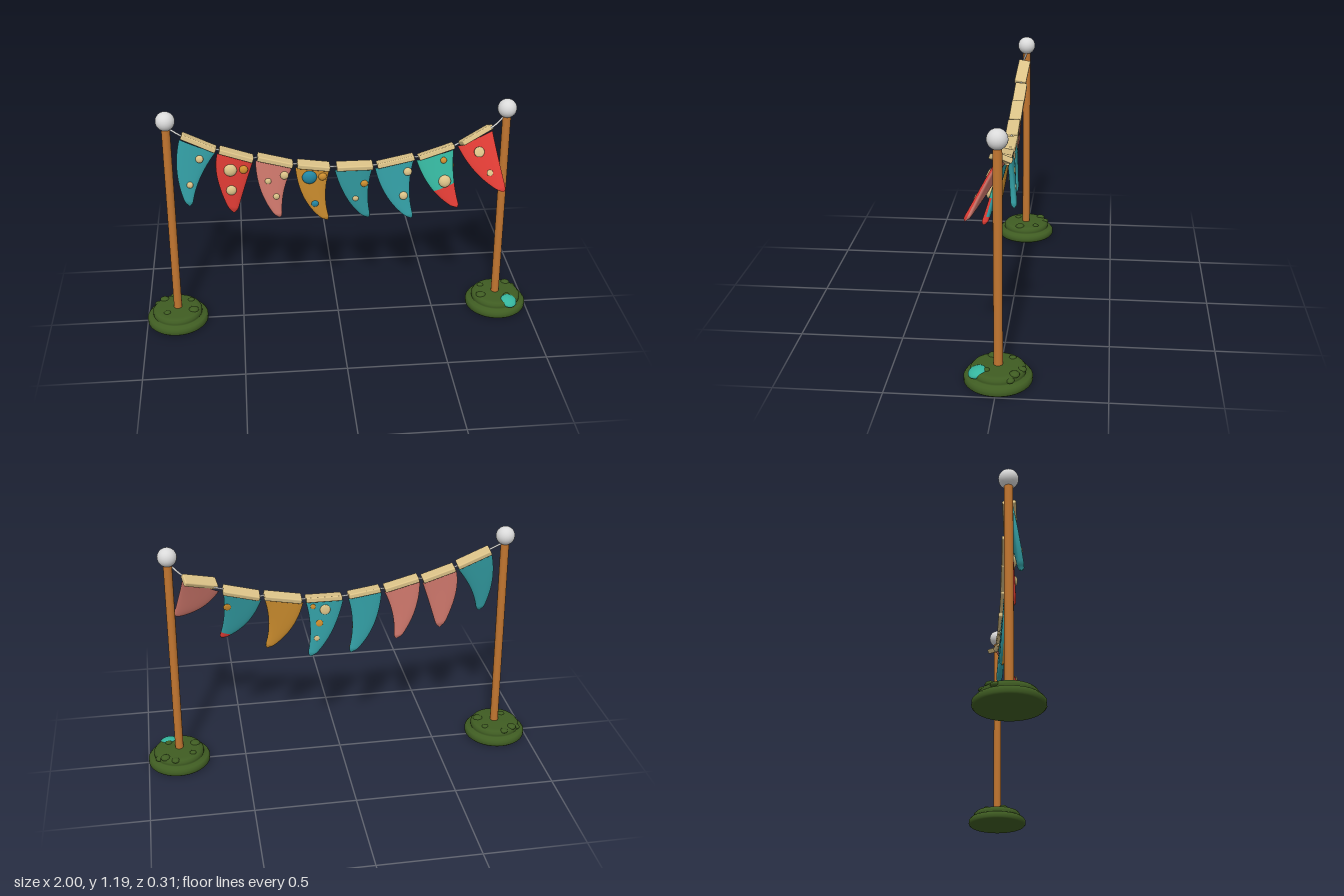
import * as THREE from 'three';
import { RoundedBoxGeometry } from 'three/addons/geometries/RoundedBoxGeometry.js';
import { ParametricGeometry } from 'three/addons/geometries/ParametricGeometry.js';

const material = (name, color) => new THREE.MeshStandardMaterial({ name, color });
const M = {
  teal: material('teal cloth', 0x329ca2),
  red: material('red cloth', 0xdd3b34),
  pink: material('pink cloth', 0xd47b6f),
  ochre: material('ochre cloth', 0xd0902f),
  cream: material('cream', 0xdcc388),
  moss: material('moss green', 0x3f5c22),
  white: material('pale grey', 0xdadada),
  turquoise: material('turquoise', 0x35b59e),
  wood: material('wood', 0xc27630),
  blue: material('blue', 0x2388a4),
};

// top edge ends a and b, side mid points l and r, tip, z of the top edge, forward swing of the tip
const FLAGS = [
  { a: [-.755, 1.067], b: [-.594, .99], l: [-.786, .882], r: [-.68, .84], tip: [-.733, .708], z: .012, swing: .05, front: 'teal', back: 'teal' },
  { a: [-.578, .985], b: [-.417, .93], l: [-.594, .83], r: [-.46, .79], tip: [-.52, .643], z: .012, swing: .02, front: 'red', back: 'pink' },
  { a: [-.396, .94], b: [-.225, .893], l: [-.385, .754], r: [-.273, .738], tip: [-.294, .6], z: .014, swing: .01, front: 'pink', back: 'pink' },
  { a: [-.203, .894], b: [-.043, .87], l: [-.171, .695], r: [-.064, .706], tip: [-.054, .556], z: .016, swing: -.02, front: 'ochre', back: 'teal' },
  { a: [-.01, .868], b: [.17, .868], l: [.043, .68], r: [.15, .706], tip: [.155, .556], z: .012, swing: -.025, front: 'teal', back: 'teal' },
  { a: [.19, .868], b: [.374, .904], l: [.24, .7], r: [.353, .733], tip: [.364, .583], z: .012, swing: .05, front: 'teal', back: 'ochre' },
  { a: [.396, .9], b: [.572, .953], l: [.46, .743], r: [.572, .79], tip: [.588, .647], z: .008, swing: .08, front: 'turquoise', back: 'teal' },
  { a: [.6, .965], b: [.76, 1.043], l: [.674, .834], r: [.786, .898], tip: [.807, .754], z: 0, swing: .145, yaw: .2, front: 'red', back: 'pink' },
];

// flag index, x, y, radius, colour
const FRONT_DOTS = [
  [0, -.674, .952, .019, 'cream'], [0, -.727, .824, .016, 'cream'],
  [1, -.529, .882, .032, 'cream'], [1, -.465, .882, .021, 'ochre'], [1, -.529, .775, .026, 'cream'],
  [2, -.348, .813, .016, 'cream'], [2, -.267, .84, .021, 'cream'], [2, -.31, .727, .016, 'cream'],
  [3, -.144, .823, .037, 'blue'], [3, -.08, .823, .021, 'ochre'], [3, -.118, .668, .019, 'blue'],
  [4, .128, .77, .019, 'ochre'], [4, .086, .685, .016, 'cream'],
  [5, .342, .834, .021, 'cream'], [5, .321, .711, .021, 'cream'],
  [6, .519, .888, .016, 'ochre'], [6, .524, .786, .031, 'cream'],
  [7, .69, .936, .026, 'cream'], [7, .738, .845, .016, 'cream'],
];
const BACK_DOTS = [
  [4, .075, .81, .026, 'cream'], [4, .105, .74, .018, 'ochre'], [4, .135, .83, .013, 'ochre'], [4, .12, .66, .014, 'cream'],
  [6, .5, .87, .02, 'cream'], [6, .555, .85, .02, 'ochre'], [6, .47, .83, .015, 'ochre'], [6, .53, .765, .018, 'ochre'],
];
const HALF = .016; // half the cloth thickness

function add(parent, name, geometry, mat, x = 0, y = 0, z = 0) {
  const mesh = new THREE.Mesh(geometry, mat);
  mesh.name = name;
  mesh.position.set(x, y, z);
  parent.add(mesh);
  return mesh;
}

// point on a quadratic curve that passes through its given mid point
function through(p, m, q, t) {
  return [0, 1].map(i => {
    const c = 2 * m[i] - (p[i] + q[i]) / 2;
    return (1 - t) ** 2 * p[i] + 2 * t * (1 - t) * c + t * t * q[i];
  });
}

// one padded face of a curved pennant between heights v0 (tip = 0) and v1 (top = 1)
function pennantFace(f, side, v0, v1) {
  const topL = [f.a[0] - .01, f.a[1] - .015], topR = [f.b[0], f.b[1] - .015];
  const tipL = [f.tip[0] - .017, f.tip[1] + .004], tipR = [f.tip[0] + .013, f.tip[1]];
  return new ParametricGeometry((u, w, out) => {
    const v = v0 + (v1 - v0) * w;
    const L = through(tipL, f.l, topL, v), R = through(tipR, f.r, topR, v);
    const round = Math.max(.08, Math.sqrt(Math.min(1, v / .07)));
    const angle = Math.PI * u;
    const s = .5 - side * .5 * Math.cos(angle) * round;
    const puff = HALF * round * Math.pow(Math.max(0, Math.sin(angle)), .5);
    out.set(L[0] + (R[0] - L[0]) * s, L[1] + (R[1] - L[1]) * s, f.z + f.swing * (1 - v) + side * puff);
  }, 16, 18);
}

function addFace(group, f, side, colour, tipColour, split) {
  const label = side > 0 ? 'Front' : 'Back';
  add(group, 'cloth' + label, pennantFace(f, side, split, 1), M[colour]);
  if (split > 0) add(group, 'clothTip' + label, pennantFace(f, side, 0, split), M[tipColour]);
}

function makePennant(f, i) {
  const group = new THREE.Group();
  group.name = 'pennant' + (i + 1);
  const twoTone = i === 6;
  addFace(group, f, 1, f.front, 'red', twoTone ? .45 : 0);
  addFace(group, f, -1, f.back, 'red', twoTone ? .15 : 0);

  // folded hem along the top edge
  const dx = f.b[0] - f.a[0], dy = f.b[1] - f.a[1];
  const hem = add(group, 'hem', new RoundedBoxGeometry(Math.hypot(dx, dy), .026, .064, 2, .006), M.cream,
    (f.a[0] + f.b[0]) / 2, (f.a[1] + f.b[1]) / 2, f.z);
  hem.rotation.set(-Math.atan(f.swing / .3), f.yaw || 0, Math.atan2(dy, dx));

  // buttons on the front, flat spots on the back
  const top = (f.a[1] + f.b[1]) / 2;
  for (const [dots, side] of [[FRONT_DOTS, 1], [BACK_DOTS, -1]]) {
    for (const [k, x, y, r, colour] of dots) {
      if (k !== i) continue;
      const v = (y - f.tip[1]) / (top - f.tip[1]);
      const dot = add(group, side > 0 ? 'button' : 'spot', new THREE.SphereGeometry(r, 16, 12), M[colour],
        x, y, f.z + f.swing * (1 - v) + side * HALF * .9);
      dot.scale.z = side < 0 || i === 7 ? .2 : .6;
      dot.rotation.x = -Math.atan(f.swing / .3);
    }
  }
  return group;
}

// mossy stone base, leaning pole and ball
function makePost(side) {
  const post = new THREE.Group();
  post.name = side > 0 ? 'leftPost' : 'rightPost';
  const x = .843 * side;
  const profile = [[0, 0], [.15, 0], [.157, .007], [.157, .026], [.148, .037], [.125, .041],
    [.127, .05], [.127, .062], [.118, .073], [.1, .077], [0, .08]].map(p => new THREE.Vector2(...p));
  add(post, 'base', new THREE.LatheGeometry(profile, 40), M.moss, x, 0, 0);

  const bumps = [[.07, -.08, .024, .072], [.02, -.11, .02, .07], [-.085, .03, .026, .074], [.1, -.062, .021, .058], [-.07, -.06, .017, .076], [.05, .05, .018, .076]];
  for (const [bx, bz, r, y] of bumps) {
    add(post, 'mossBump', new THREE.SphereGeometry(r, 14, 10), M.moss, x + bx * side, y, bz).scale.y = .6;
  }

  const foot = new THREE.Vector3(.84 * side, .06, 0), head = new THREE.Vector3(.826 * side, 1.12, 0);
  add(post, 'pole', new THREE.TubeGeometry(new THREE.LineCurve3(foot, head), 1, .021, 16), M.wood);
  add(post, 'ball', new THREE.SphereGeometry(.047, 24, 16), M.white, head.x, 1.141, 0);
  return post;
}

export function createModel() {
  const model = new THREE.Group();
  model.name = 'buntingBetweenPosts';
  model.add(makePost(-1), makePost(1));

  // smooth pebble resting on one base
  const pebble = add(model, 'pebble', new THREE.SphereGeometry(.043, 20, 14), M.turquoise, .895, .066, .09);
  pebble.scale.y = .45;
  pebble.rotation.set(.3, 0, -.15);

  // cord threaded through the hems
  const points = [[-.81, 1.1, 0], ...FLAGS.flatMap(f => [[...f.a, f.z], [...f.b, f.z]]), [.815, 1.1, 0]];
  const cord = new THREE.CatmullRomCurve3(points.map(p => new THREE.Vector3(...p)));
  add(model, 'cord', new THREE.TubeGeometry(cord, 90, .005, 8), M.white);

  FLAGS.forEach((f, i) => model.add(makePennant(f, i)));
  return model;
}
